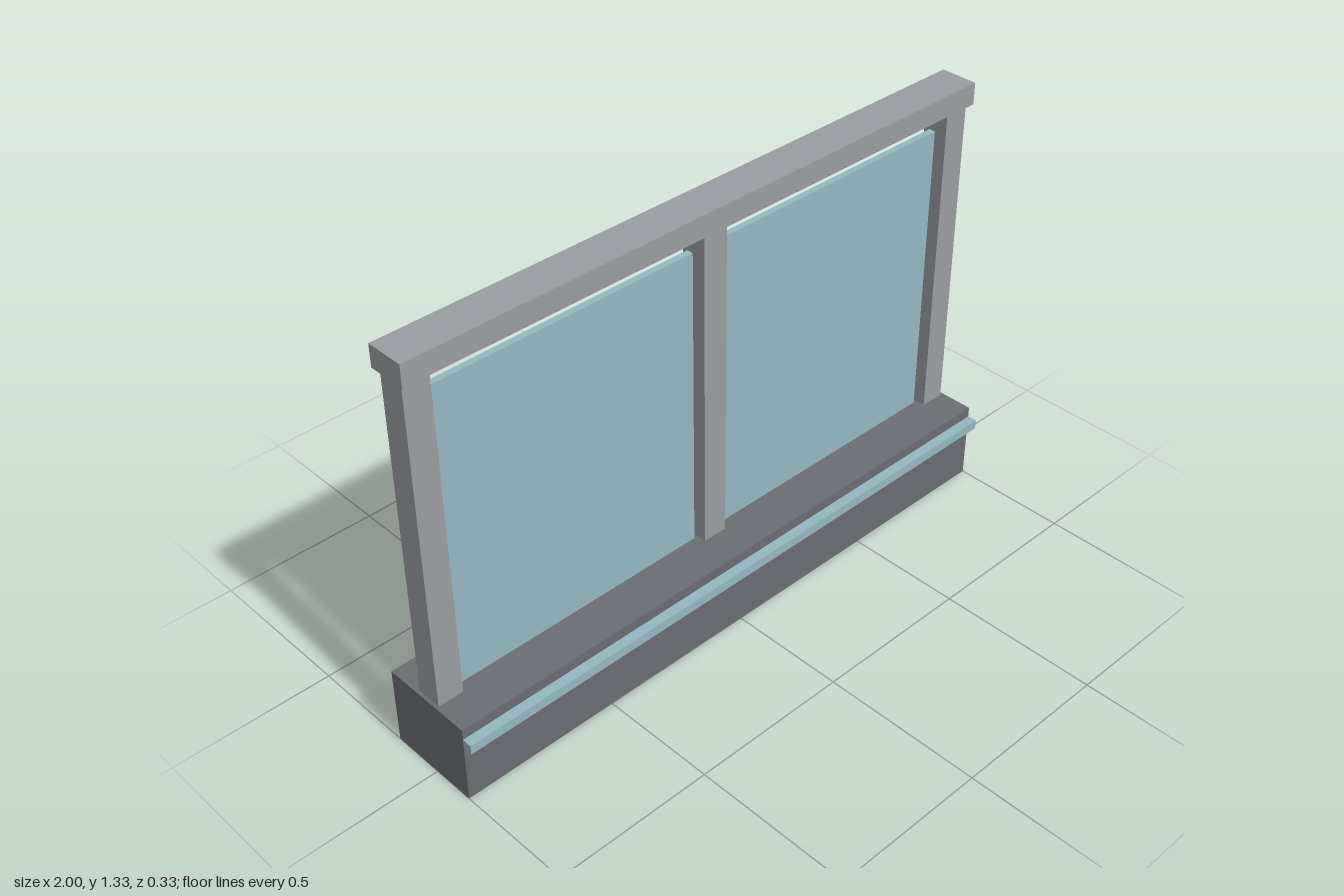
import * as THREE from 'three';

export function createModel() {
  const model = new THREE.Group();
  model.name = 'glassBarrier';

  const material = (name, color) => {
    const m = new THREE.MeshStandardMaterial({ color });
    m.name = name;
    return m;
  };
  const darkGrey = material('darkGrey', 0x6a6d72);
  const lightGrey = material('lightGrey', 0x9a9da2);
  const glassBlue = material('glassBlue', 0x93b8c3);

  // Box given by its extents along each axis
  const box = (name, mat, [x0, x1], [y0, y1], [z0, z1]) => {
    const mesh = new THREE.Mesh(new THREE.BoxGeometry(x1 - x0, y1 - y0, z1 - z0), mat);
    mesh.position.set((x0 + x1) / 2, (y0 + y1) / 2, (z0 + z1) / 2);
    mesh.name = name;
    model.add(mesh);
  };

  const baseTop = 0.25;
  const railBottom = 1.267;
  const midZ = -0.015;
  const around = (centre, half) => [centre - half, centre + half];

  // Plinth with a trim strip along its front
  box('base', darkGrey, [-1, 1], [0, baseTop], [-0.165, 0.134]);
  box('trimStrip', glassBlue, [-1, 1], [0.187, 0.217], [0.134, 0.165]);

  // Three posts carrying the handrail
  [['rightPost', -0.95], ['middlePost', 0], ['leftPost', 0.95]].forEach(([name, x]) =>
    box(name, lightGrey, around(x, 0.04), [baseTop, railBottom], around(midZ, 0.04)));
  box('handrail', lightGrey, [-1, 1], [railBottom, 1.334], around(midZ, 0.0585));

  // Glass panes between the posts
  [['rightPane', -0.475], ['leftPane', 0.475]].forEach(([name, x]) =>
    box(name, glassBlue, around(x, 0.422), [baseTop, 1.2], around(midZ, 0.01)));

  return model;
}
